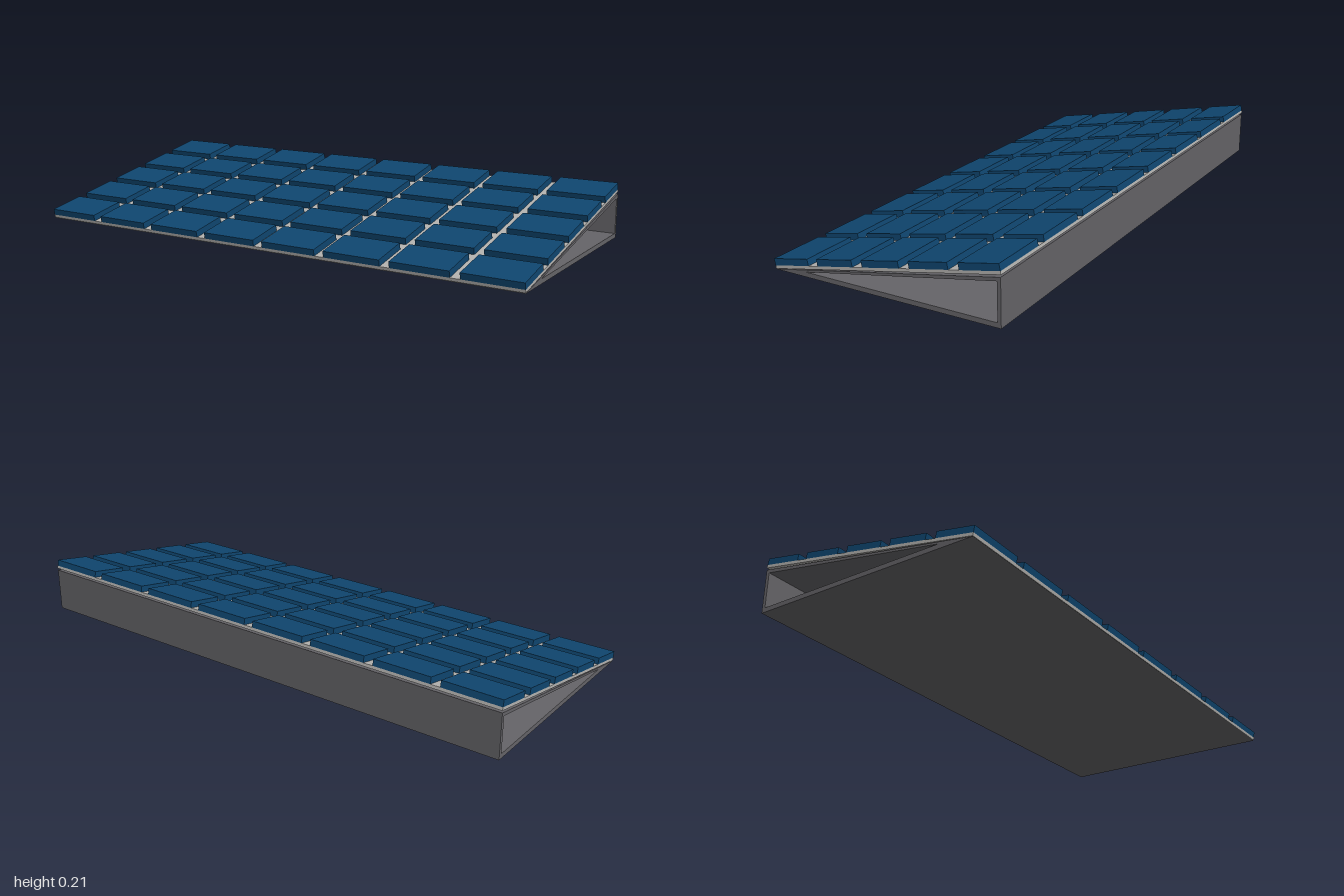
import * as THREE from 'three';

const WIDTH = 2, COLS = 8, ROWS = 5;
const TILT = 0.193;                 // slope of the board, radians
const BOARD = { length: 0.888, thickness: 0.011 };
const PANEL = { x: 0.2185, y: 0.0235, z: 0.146 };

const material = (color) => new THREE.MeshStandardMaterial({ color });

function addBox(parent, name, mat, size, position) {
  const mesh = new THREE.Mesh(new THREE.BoxGeometry(...size), mat);
  mesh.name = name;
  mesh.position.set(...position);
  parent.add(mesh);
  return mesh;
}

// Hollow triangular stand, open at both sides; outline in (-z, y)
function createStand() {
  const outline = new THREE.Shape([
    new THREE.Vector2(-0.433, 0),
    new THREE.Vector2(0.437, 0),
    new THREE.Vector2(0.437, 0.164),
  ]);
  outline.holes.push(new THREE.Path([
    new THREE.Vector2(-0.305, 0.017),
    new THREE.Vector2(0.424, 0.149),
    new THREE.Vector2(0.424, 0.017),
  ]));
  const geometry = new THREE.ExtrudeGeometry(outline, { depth: WIDTH, bevelEnabled: false });
  geometry.translate(0, 0, -WIDTH / 2);
  geometry.rotateY(Math.PI / 2);
  const stand = new THREE.Mesh(geometry, material(0x656468));
  stand.name = 'wedgeStand';
  return stand;
}

// Tilted board with a grid of panels; its origin is the lower front edge
function createPanelBoard() {
  const board = new THREE.Group();
  board.name = 'panelBoard';
  addBox(board, 'backingBoard', material(0xb4b3b0),
    [WIDTH, BOARD.thickness, BOARD.length],
    [0, BOARD.thickness / 2, -BOARD.length / 2]);

  const blue = material(0x0f4670);
  const pitchX = (WIDTH - PANEL.x) / (COLS - 1);
  const pitchZ = (BOARD.length - PANEL.z) / (ROWS - 1);
  for (let row = 0; row < ROWS; row++) {
    for (let col = 0; col < COLS; col++) {
      addBox(board, `panel_${row + 1}_${col + 1}`, blue,
        [PANEL.x, PANEL.y, PANEL.z],
        [
          -WIDTH / 2 + PANEL.x / 2 + col * pitchX,
          BOARD.thickness + PANEL.y / 2,
          -PANEL.z / 2 - row * pitchZ,
        ]);
    }
  }
  board.position.set(0, 0.002, 0.433);
  board.rotation.x = TILT;
  return board;
}

export function createModel() {
  const model = new THREE.Group();
  model.name = 'tiltedPanelArray';
  model.add(createStand(), createPanelBoard());
  return model;
}
